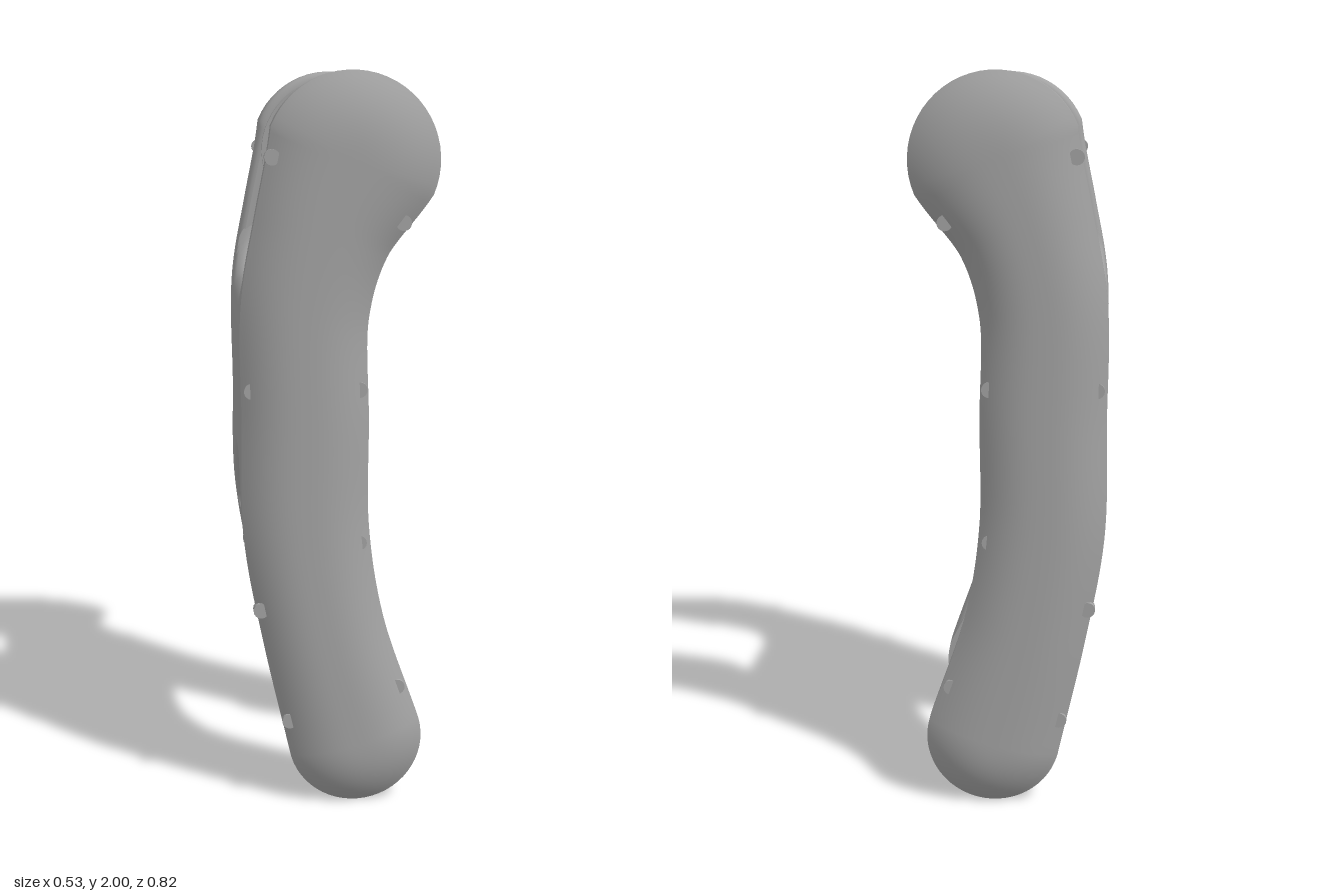
import * as THREE from 'three';
import { toCreasedNormals } from 'three/addons/utils/BufferGeometryUtils.js';

// Centre line of the side plates: x, y and half width
const spine = new THREE.CatmullRomCurve3([
  [0.04, 0.185, 0.185], [-0.047, 0.5, 0.168], [-0.093, 0.78, 0.17], [-0.095, 1.08, 0.17],
  [-0.095, 1.38, 0.17], [-0.05, 1.58, 0.182], [0.03, 1.77, 0.23],
].map(p => new THREE.Vector3(...p)));
const samples = spine.getPoints(300);

// Spine position and half width at a height
function spineAt(y) {
  const i = Math.max(1, samples.findIndex(p => p.y >= y));
  const a = samples[i - 1], b = samples[i];
  return a.clone().lerp(b, (y - a.y) / (b.y - a.y));
}

// Counter-clockwise plate outline: spine point plus offset to the edge
function makeOutline() {
  const right = [], left = [], N = 64;
  const normalAt = t => {
    const d = spine.getTangent(t);
    return Math.atan2(-d.x, d.y);
  };
  const entry = (p, a) => ({ x: p.x, y: p.y, dx: p.z * Math.cos(a), dy: p.z * Math.sin(a) });
  for (let i = 0; i <= N; i++) {
    const p = spine.getPoint(i / N), a = normalAt(i / N);
    right.push(entry(p, a));
    left.unshift(entry(p, a + Math.PI));
  }
  const cap = (t, start) => Array.from({ length: 27 }, (_, k) =>
    entry(spine.getPoint(t), normalAt(t) + start + Math.PI * (k + 1) / 28));
  return [...right, ...cap(1, 0), ...left, ...cap(0, Math.PI)];
}

// Surface through closed loops of equal length
function skin(rows) {
  const n = rows[0].length, index = [];
  for (let i = 0; i < rows.length - 1; i++) {
    for (let j = 0; j < n; j++) {
      const k = (j + 1) % n, a = i * n + j, b = i * n + k;
      index.push(a, b, b + n, a, b + n, a + n);
    }
  }
  const geo = new THREE.BufferGeometry();
  geo.setAttribute('position', new THREE.Float32BufferAttribute(rows.flat(2), 3));
  geo.setIndex(index);
  geo.computeVertexNormals();
  return geo;
}

// Web section at depth z: arched below, filleted into the plates above
function webLoop(z) {
  const d = Math.abs(z);
  const u1 = Math.min(1, Math.max(0, (d - 0.145) / 0.13));
  const u2 = Math.min(1, Math.max(0, (d - 0.05) / 0.23));
  const top = 1.44 + 0.13 * (1 - Math.sqrt(1 - u1 * u1));
  const bottom = 0.83 - 0.25 * (1 - Math.sqrt(1 - u2 * u2));
  const loop = [];
  const add = (u, y) => {
    const s = spineAt(y);
    loop.push([s.x + u * s.z * 0.997, y, z]);
  };
  const side = 24, lowDrop = 0.13, backDrop = 0.05, frontDrop = 0.13;
  for (let i = 0; i <= side; i++) {
    add(1, THREE.MathUtils.lerp(bottom + lowDrop, top - frontDrop, i / side));
  }
  const crown = [[0.93, 0.1], [0.8, 0.065], [0.6, 0.028], [0.4, 0.006], [0.2, 0], [-0.2, 0],
    [-0.6, 0.004], [-0.85, 0.014], [-0.96, 0.03]];
  crown.forEach(([u, drop]) => add(u, top - drop));
  for (let i = 0; i <= side; i++) {
    add(-1, THREE.MathUtils.lerp(top - backDrop, bottom + lowDrop, i / side));
  }
  for (let i = 1; i < 16; i++) {
    const a = Math.PI * i / 16;
    add(-Math.cos(a), bottom + lowDrop * (1 - Math.sin(a)));
  }
  return loop;
}

export function createModel() {
  const model = new THREE.Group();
  model.name = 'hShapedBracket';
  const grey = new THREE.MeshStandardMaterial({ color: 0xa3a3a3 });
  grey.name = 'plain grey';
  const add = (parent, name, geo) => {
    const mesh = new THREE.Mesh(geo, grey);
    mesh.name = name;
    parent.add(mesh);
    return mesh;
  };

  // Web joining the plates
  const depths = [-0.34];
  for (let k = -18; k <= 18; k++) depths.push(0.28 * Math.sin(k / 18 * Math.PI / 2));
  depths.push(0.34);
  add(model, 'web', toCreasedNormals(skin(depths.map(webLoop)), 0.7));

  // Plate profiles as [fraction of half width, depth]
  const inner = [[0, 0.275], [0.9, 0.275]];
  const wall = [[0.9, 0.275], [0.94, 0.277], [0.975, 0.283], [0.993, 0.29], [1, 0.3], [1, 0.35]];
  const dome = [];
  for (let i = 0; i <= 14; i++) {
    const s = 1 - i / 14;
    dome.push([s, 0.35 + 0.06 * (1 - Math.pow(s, 2.6))]);
  }
  const outline = makeOutline();
  const notches = [[-0.18, 1.78], [0.162, 1.61], [-0.238, 1.17], [0.048, 1.17],
    [0.048, 0.75], [-0.218, 0.565], [0.155, 0.335], [-0.142, 0.245]];

  for (const side of [1, -1]) {
    const plate = new THREE.Group();
    plate.name = side > 0 ? 'frontPlate' : 'backPlate';
    model.add(plate);

    // Plate body: flat inside, rounded wall, domed outside
    const surface = (name, profile) => {
      const rows = profile.map(([s, z]) => outline.map(o => [o.x + o.dx * s, o.y + o.dy * s, z * side]));
      if (side < 0) rows.reverse();
      add(plate, name, skin(rows));
    };
    surface('innerFace', inner);
    surface('wall', wall);
    surface('dome', dome);

    // Flat contact pads with a small corner tail
    const pad = (name, cx, cy, r, from, to, tail) => {
      const pts = [];
      for (let i = 0; i <= 40; i++) {
        const a = THREE.MathUtils.degToRad(from + (to - from) * i / 40);
        pts.push([r * Math.cos(a), r * Math.sin(a)]);
      }
      const shape = new THREE.Shape([...pts, ...tail].map(([x, y]) =>
        new THREE.Vector2(cx - side * x, cy + y)));
      const geo = new THREE.ExtrudeGeometry(shape, { depth: 0.04, bevelEnabled: false });
      add(plate, name, geo).position.z = side > 0 ? 0.26 : -0.3;
    };
    pad('upperPad', 0.03, 1.77, 0.205, -55, 215, [[-0.14, -0.16], [0.05, -0.235], [0.08, -0.225]]);
    pad('lowerPad', 0.04, 0.185, 0.184, 160, 380, [[0.13, 0.145], [0.1, 0.19], [0.075, 0.165], [-0.12, 0.165]]);

    // Small edge marks around the bevel
    for (const [x, y] of notches) {
      const mark = add(plate, 'edgeMark', new THREE.CylinderGeometry(0.021, 0.021, 0.03, 16));
      mark.rotation.x = Math.PI / 2;
      mark.position.set(x, y, side * 0.355);
    }
  }
  return model;
}
